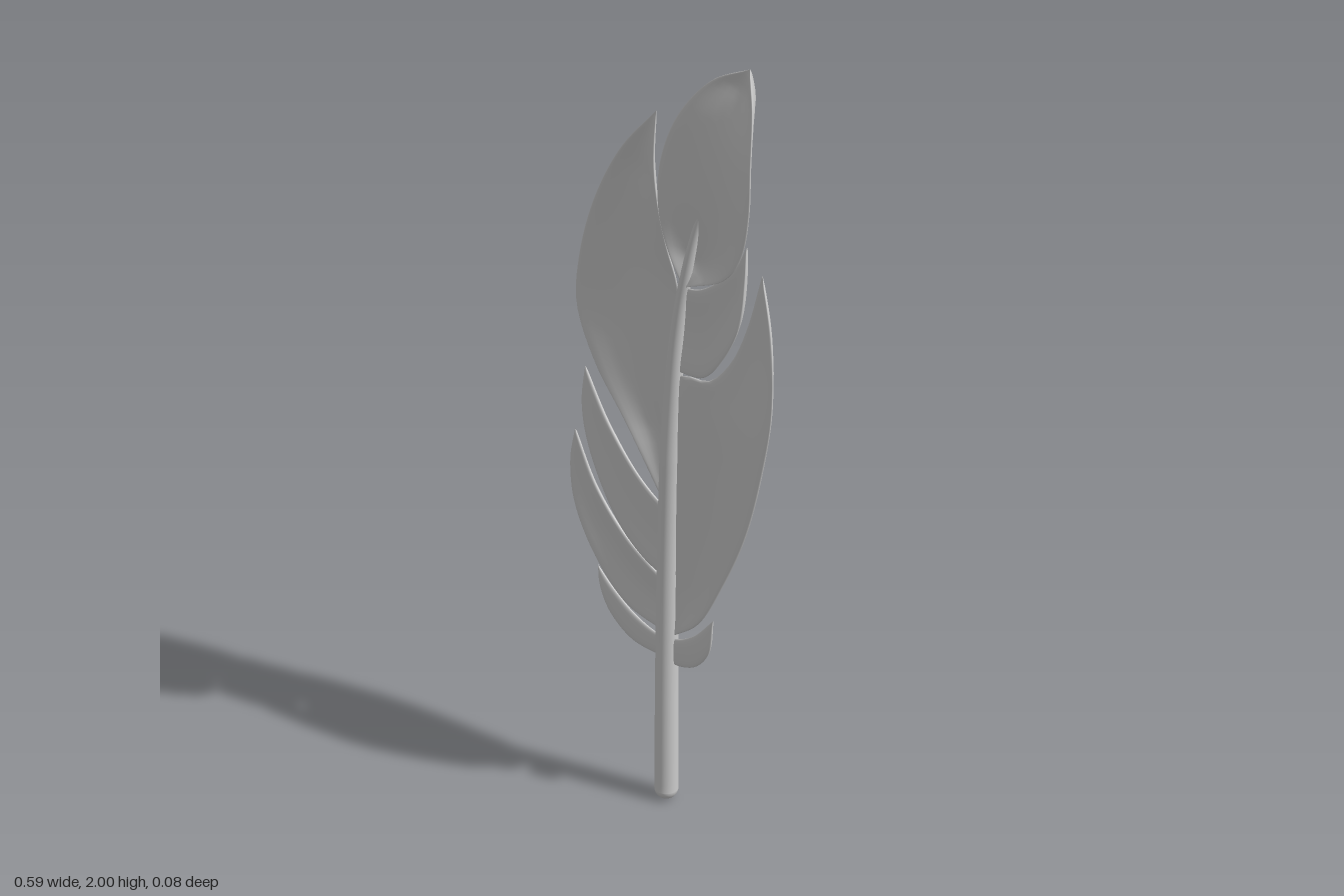
import * as THREE from 'three';

const material = new THREE.MeshStandardMaterial({ color: 0xcccccc, side: THREE.DoubleSide });

const curveThrough = (points) =>
  new THREE.CatmullRomCurve3(points.map((p) => new THREE.Vector3(...p)), false, 'centripetal');

// Thin lens-shaped blade lofted between its left and right edges (base to tip).
// bow pushes the middle of the blade backwards, thick is the half thickness.
function vane(name, left, right, tip, bow, thick = 0.012) {
  const rows = 40, ring = 28;
  const a = curveThrough([...left, tip]), b = curveThrough([...right, tip]);
  const positions = [], index = [];
  for (let i = 0; i <= rows; i++) {
    const t = i / rows;
    const p = a.getPointAt(t), q = b.getPointAt(t);
    const fullness = Math.min(1, p.distanceTo(q) / 0.12);
    for (let j = 0; j < ring; j++) {
      const angle = (j / ring) * Math.PI * 2;
      const s = (1 - Math.cos(angle)) / 2;
      const v = p.clone().lerp(q, s);
      v.z += -bow * Math.sin(Math.PI * s) * fullness + thick * Math.sin(angle) * Math.sqrt(fullness);
      positions.push(v.x, v.y, v.z);
      if (i < rows) {
        const k = i * ring + j, n = i * ring + ((j + 1) % ring);
        index.push(k, n, k + ring, n, n + ring, k + ring);
      }
    }
  }
  const geometry = new THREE.BufferGeometry();
  geometry.setAttribute('position', new THREE.Float32BufferAttribute(positions, 3));
  geometry.setIndex(index);
  geometry.computeVertexNormals();
  const mesh = new THREE.Mesh(geometry, material);
  mesh.name = name;
  return mesh;
}

// Round quill that follows the spine and thins out to a point
function quill() {
  const path = curveThrough([
    [-0.037, 0.024, -0.007], [-0.035, 0.4, -0.007], [-0.03, 0.7, -0.007], [-0.02, 1.0, -0.007],
    [0.0, 1.25, -0.007], [0.035, 1.45, -0.008], [0.105, 1.72, -0.012],
  ]);
  const rows = 80, sides = 20, radius = 0.026;
  const geometry = new THREE.TubeGeometry(path, rows, radius, sides, false);
  const pos = geometry.attributes.position, v = new THREE.Vector3();
  for (let i = 0; i <= rows; i++) {
    const t = i / rows, centre = path.getPointAt(t);
    const scale = t < 0.5 ? 1 - 0.2 * t : 0.9 * Math.pow((1 - t) / 0.5, 0.7) + 0.01;
    for (let j = 0; j <= sides; j++) {
      const k = i * (sides + 1) + j;
      v.fromBufferAttribute(pos, k).sub(centre).multiplyScalar(scale).add(centre);
      pos.setXYZ(k, v.x, v.y, v.z);
    }
  }
  geometry.computeVertexNormals();
  const group = new THREE.Group();
  group.name = 'quill';
  const shaft = new THREE.Mesh(geometry, material);
  shaft.name = 'shaft';
  const end = new THREE.Mesh(new THREE.SphereGeometry(radius, 20, 14), material);
  end.name = 'roundedEnd';
  end.position.set(-0.037, 0.026, -0.007);
  group.add(shaft, end);
  return group;
}

export function createModel() {
  const feather = new THREE.Group();
  feather.name = 'feather';
  feather.add(quill());

  // Top blade
  feather.add(vane('tipVane',
    [[0.015, 1.36, 0], [-0.015, 1.45, 0.015], [-0.028, 1.56, 0.028], [-0.015, 1.69, 0.033], [0.035, 1.83, 0.028], [0.115, 1.945, 0.005]],
    [[0.03, 1.36, 0], [0.14, 1.43, 0.005], [0.21, 1.53, 0.02], [0.247, 1.66, 0.034], [0.252, 1.79, 0.034], [0.232, 1.92, 0.008]],
    [0.2, 2.0, -0.018], 0.04));

  // Left side, top to bottom
  feather.add(vane('upperLeftVane',
    [[-0.04, 0.76, -0.005], [-0.15, 0.92, 0], [-0.23, 1.04, 0.01], [-0.28, 1.17, 0.015], [-0.27, 1.3, 0.02], [-0.22, 1.48, 0.026], [-0.135, 1.66, 0.03]],
    [[-0.03, 0.78, -0.005], [-0.02, 1.0, -0.005], [-0.005, 1.2, -0.003], [0.005, 1.34, 0], [-0.018, 1.45, 0.012], [-0.033, 1.55, 0.022], [-0.04, 1.66, 0.028]],
    [-0.031, 1.805, 0.03], 0.03));
  feather.add(vane('middleLeftVane',
    [[-0.035, 0.565, -0.007], [-0.1, 0.59, -0.004], [-0.175, 0.655, 0], [-0.25, 0.81, 0.008], [-0.27, 0.92, 0.01]],
    [[-0.035, 0.75, -0.007], [-0.065, 0.76, -0.007], [-0.125, 0.805, -0.004], [-0.2, 0.895, 0]],
    [-0.265, 1.015, 0.005], 0.012));
  feather.add(vane('lowerLeftVane',
    [[-0.035, 0.425, -0.007], [-0.15, 0.45, -0.002], [-0.23, 0.53, 0.005], [-0.287, 0.65, 0.013], [-0.299, 0.76, 0.015]],
    [[-0.035, 0.56, -0.007], [-0.07, 0.572, -0.007], [-0.15, 0.62, -0.004], [-0.23, 0.715, 0.004]],
    [-0.288, 0.845, 0.012], 0.014));
  feather.add(vane('bottomLeftVane',
    [[-0.035, 0.36, -0.007], [-0.135, 0.365, -0.003], [-0.195, 0.41, 0.002], [-0.222, 0.465, 0.004]],
    [[-0.035, 0.415, -0.007], [-0.07, 0.413, -0.007], [-0.13, 0.432, -0.005], [-0.19, 0.475, 0]],
    [-0.23, 0.513, 0.002], 0.004, 0.01));

  // Right side, top to bottom
  feather.add(vane('upperRightVane',
    [[0.02, 1.35, -0.007], [0.06, 1.365, -0.007], [0.115, 1.41, -0.008], [0.165, 1.47, -0.01]],
    [[-0.01, 1.12, -0.007], [0.07, 1.14, -0.006], [0.135, 1.22, -0.002], [0.187, 1.335, 0], [0.198, 1.45, -0.006]],
    [0.195, 1.537, -0.014], 0.014));
  feather.add(vane('largeRightVane',
    [[-0.03, 0.43, -0.007], [-0.025, 0.7, -0.007], [-0.018, 0.95, -0.007], [0.0, 1.11, -0.007], [0.085, 1.137, -0.01], [0.145, 1.21, -0.015], [0.19, 1.32, -0.02]],
    [[-0.02, 0.425, -0.007], [0.06, 0.495, -0.003], [0.14, 0.64, 0], [0.21, 0.8, 0.005], [0.26, 0.98, 0.008], [0.29, 1.16, 0.008], [0.275, 1.34, -0.005]],
    [0.23, 1.475, -0.025], 0.018));
  feather.add(vane('bottomRightVane',
    [[-0.035, 0.42, -0.007], [-0.005, 0.425, -0.007], [0.045, 0.457, -0.006]],
    [[-0.035, 0.355, -0.007], [0.0, 0.357, -0.007], [0.05, 0.38, -0.005], [0.095, 0.44, -0.002]],
    [0.106, 0.528, -0.003], 0.004, 0.01));

  return feather;
}
